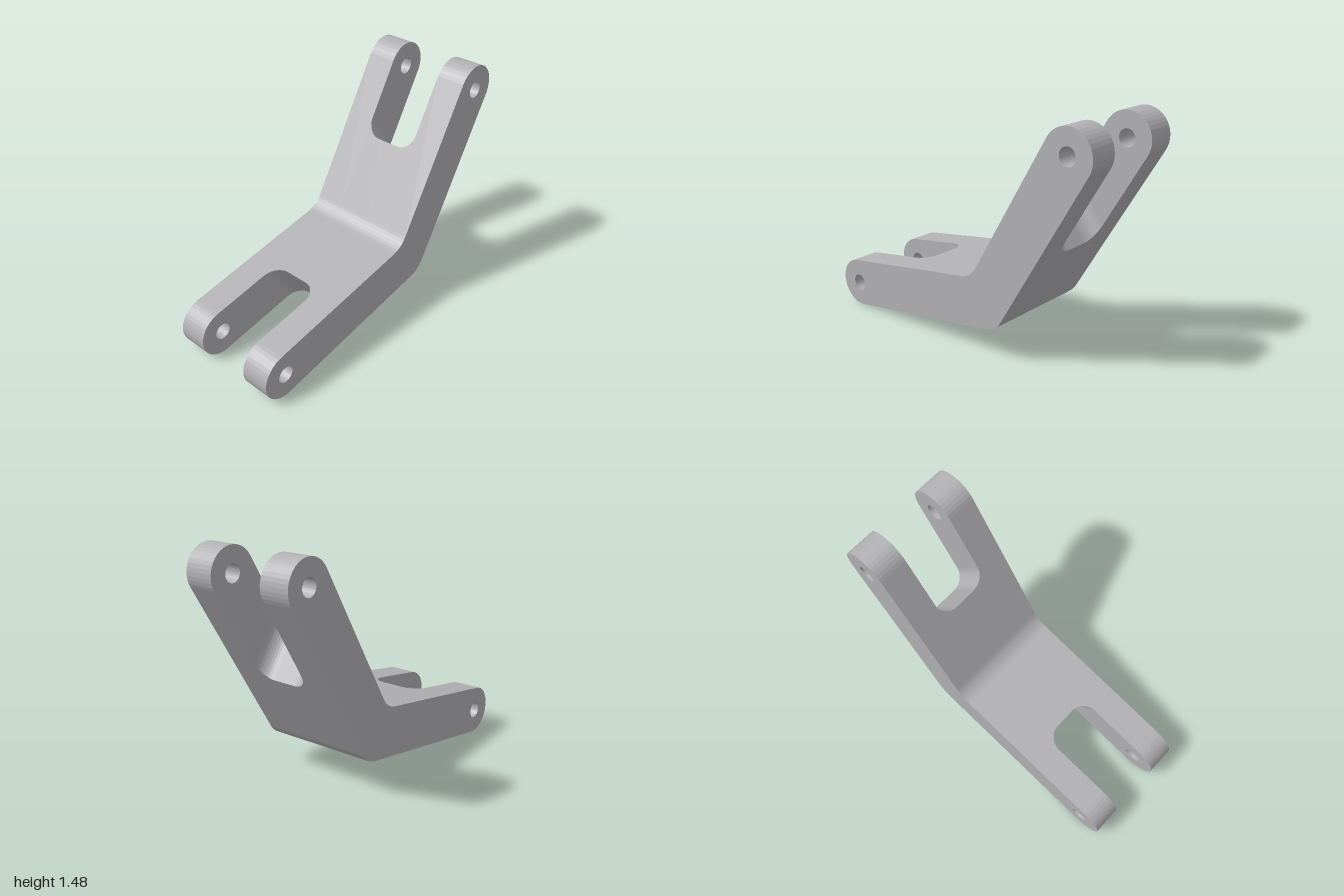
import * as THREE from 'three';
import { mergeGeometries } from 'three/addons/utils/BufferGeometryUtils.js';

// Local frame: origin at the bend, u across the mitre, v along it (both arms rise symmetrically)
const END_U = 1.027, END_V = 0.481;     // pin centres at (+-END_U, END_V)
const R = 0.155, BORE = 0.053;          // half arm width, pin hole radius
const OUT = 0.361, SLOT = 0.175;        // half depth, half slot width
const WALL = 0.514, CORNER = 0.1;       // slot floor position, slot corner radius
const A = Math.atan2(END_V, END_U);     // arm rise angle
const H = Math.PI / 2;

const arc = (cx, cy, r, a0, a1, n) => Array.from({ length: n + 1 }, (_, i) => {
  const t = a0 + (a1 - a0) * i / n;
  return new THREE.Vector2(cx + r * Math.cos(t), cy + r * Math.sin(t));
});
const bottom = u => Math.abs(u) * Math.tan(A) - R / Math.cos(A);
const top = u => Math.abs(u) * Math.tan(A) + R / Math.cos(A);
const at = (u, edge) => new THREE.Vector2(u, edge(u));

// Bend fillets and rounded arm ends, counter-clockwise
const outerBend = arc(0, 0, R, -H - A, -H + A, 7);
const innerBend = arc(0, 2 * R / Math.cos(A), R, -H + A, -H - A, 7);
const rightEnd = arc(END_U, END_V, R, A - H, A + H, 20);
const leftEnd = arc(-END_U, END_V, R, H - A, 3 * H - A, 20);
const boreLoop = s => arc(s * END_U, END_V, BORE, 2 * Math.PI, 0, 28);

// Skin between successive closed loops, given as [points, z] with z rising
function loft(sections) {
  const pos = [];
  for (let k = 0; k + 1 < sections.length; k++) {
    const [p, z0] = sections[k], [q, z1] = sections[k + 1];
    p.forEach((a, i) => {
      const j = (i + 1) % p.length, b = p[j], c = q[j], d = q[i];
      pos.push(a.x, a.y, z0, b.x, b.y, z0, c.x, c.y, z1);
      pos.push(a.x, a.y, z0, c.x, c.y, z1, d.x, d.y, z1);
    });
  }
  const g = new THREE.BufferGeometry();
  g.setAttribute('position', new THREE.Float32BufferAttribute(pos, 3));
  return g;
}

// Flat face with pin holes
function face(points, sides) {
  const shape = new THREE.Shape(points);
  for (const s of sides) shape.holes.push(new THREE.Path(boreLoop(s).slice(0, -1)));
  const g = new THREE.ShapeGeometry(shape).toNonIndexed();
  g.deleteAttribute('uv');
  g.deleteAttribute('normal');
  return g;
}

function join(parts) {
  const g = mergeGeometries(parts);
  g.computeVertexNormals();
  return g;
}

// Side cheek: outer face, rim, pin bores and the exposed inner faces of its two prongs
function cheekGeometry() {
  const outline = [...outerBend, ...rightEnd, ...innerBend, ...leftEnd];
  const e = WALL + CORNER;
  const prongs = [
    face([at(e, bottom), ...rightEnd, at(e, top)], [1]),
    face([at(-e, top), ...leftEnd, at(-e, bottom)], [-1]),
  ].map(g => g.rotateY(Math.PI).translate(0, 0, SLOT));
  const bores = [-1, 1].map(s => loft([[boreLoop(s), SLOT], [boreLoop(s), OUT]]));
  return join([
    face(outline, [-1, 1]).translate(0, 0, OUT),
    loft([[outline, SLOT], [outline, OUT]]),
    ...prongs, ...bores,
  ]);
}

// Middle web: closes both slots with rounded corners
function webGeometry() {
  const n = 10, half = [];
  for (let i = 0; i <= n; i++) {
    const t = H * i / n;
    half.push([WALL + CORNER * (1 - Math.sin(t)), SLOT - CORNER * (1 - Math.cos(t))]);
  }
  const steps = [...half.map(([u, z]) => [u, -z]), ...half.reverse()];
  return join([loft(steps.map(([u, z]) => [[
    ...outerBend, at(u, bottom), at(u, top), ...innerBend, at(-u, top), at(-u, bottom),
  ], z]))]);
}

export function createModel() {
  const metal = new THREE.MeshStandardMaterial({ color: 0xb2b2b5 });
  metal.name = 'plain grey metal';
  const group = new THREE.Group();
  group.name = 'bentClevisLink';

  const add = (name, geometry) => {
    const mesh = new THREE.Mesh(geometry, metal);
    mesh.name = name;
    group.add(mesh);
    return mesh;
  };
  const cheek = cheekGeometry();
  add('frontCheek', cheek);
  add('backCheek', cheek).rotation.y = Math.PI;
  add('middleWeb', webGeometry());

  // Tilt so one arm lies low and the other rises steeply
  group.rotation.z = Math.atan2(0.5687, 0.823);
  group.position.set(0.274, 0.343, 0);
  const model = new THREE.Group();
  model.name = 'model';
  model.add(group);
  return model;
}
